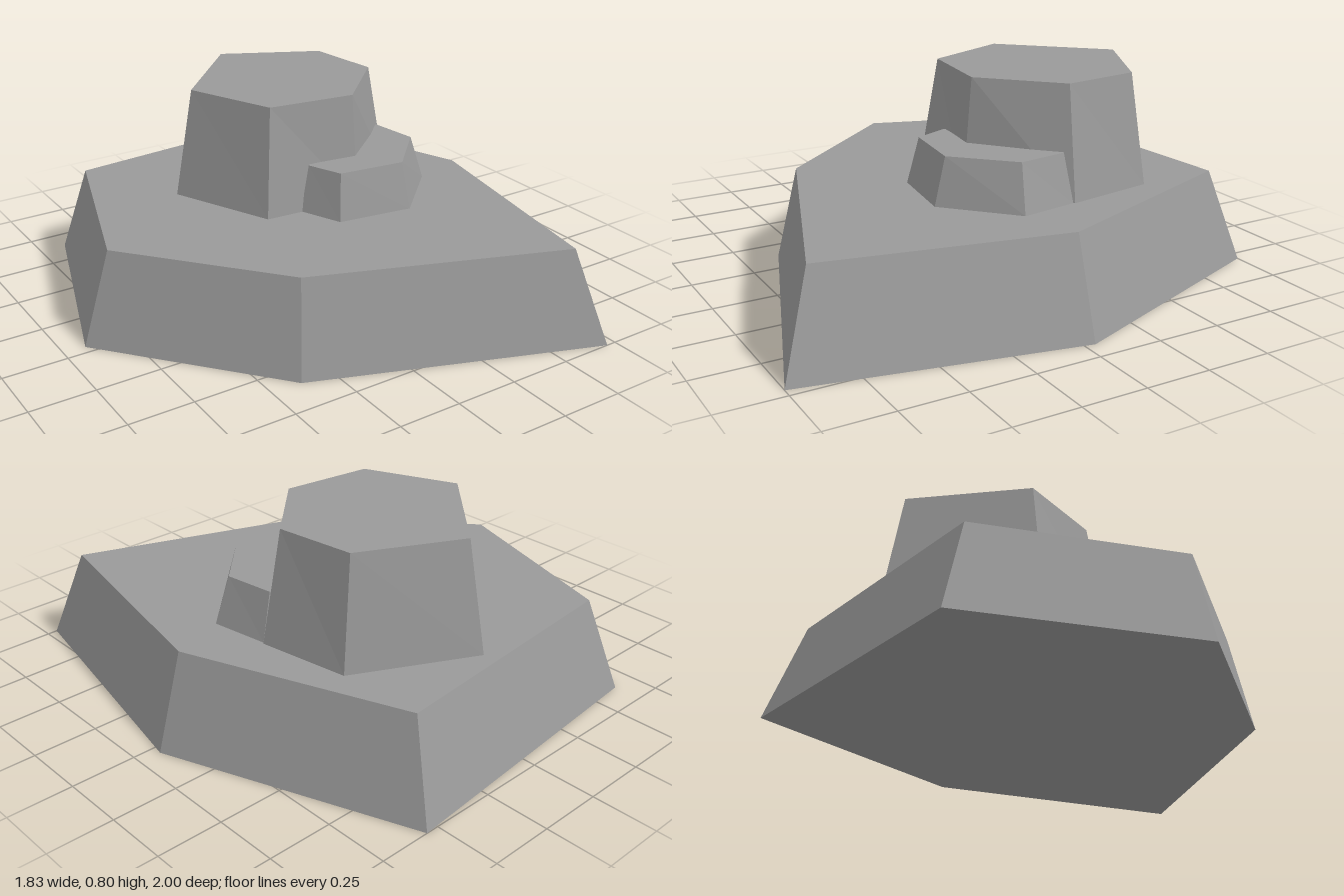
import * as THREE from 'three';

const stone = new THREE.MeshStandardMaterial({ color: 0x999999 });
stone.name = 'stoneGrey';

// Tapered prism between two convex outlines of [x, z] points, listed clockwise from above.
function taperedBlock(name, lower, upper, y0, y1) {
  const n = lower.length;
  const pos = [];
  const b = (i) => [lower[i % n][0], y0, lower[i % n][1]];
  const t = (i) => [upper[i % n][0], y1, upper[i % n][1]];
  const tri = (...corners) => corners.forEach((c) => pos.push(...c));
  for (let i = 0; i < n; i++) {
    tri(b(i), t(i), t(i + 1));
    tri(b(i), t(i + 1), b(i + 1));
  }
  for (let i = 1; i < n - 1; i++) {
    tri(t(0), t(i + 1), t(i));
    tri(b(0), b(i), b(i + 1));
  }
  const geometry = new THREE.BufferGeometry();
  geometry.setAttribute('position', new THREE.Float32BufferAttribute(pos, 3));
  geometry.computeVertexNormals();
  const mesh = new THREE.Mesh(geometry, stone);
  mesh.name = name;
  return mesh;
}

export function createModel() {
  const group = new THREE.Group();
  group.name = 'steppedRock';

  // Broad irregular base, tapering evenly towards the top
  const baseOutline = [[-0.64, -0.89], [0.55, -1], [0.915, -0.04], [0.71, 1], [-0.38, 0.6], [-0.915, -0.04]];
  const baseTop = baseOutline.map(([x, z]) => [x * 0.878, z * 0.878]);
  group.add(taperedBlock('base', baseOutline, baseTop, 0, 0.37));

  // Tall upper block
  group.add(taperedBlock('upperBlock',
    [[0.045, -0.78], [0.495, -0.55], [0.552, -0.195], [0.22, 0.083], [-0.177, 0.055], [-0.355, -0.35]],
    [[0.06, -0.705], [0.435, -0.515], [0.475, -0.21], [0.215, 0.045], [-0.13, 0], [-0.277, -0.345]],
    0.37, 0.795));

  // Low step leaning into the upper block
  group.add(taperedBlock('lowStep',
    [[0.25, -0.32], [0.547, -0.19], [0.583, -0.037 + 0.074], [0.34, 0.267], [0.04, 0.225], [-0.03, 0.06]],
    [[0.26, -0.27], [0.5, -0.175], [0.528, 0.02], [0.332, 0.22], [0.066, 0.187], [0.01, 0.052]],
    0.37, 0.55));

  return group;
}
